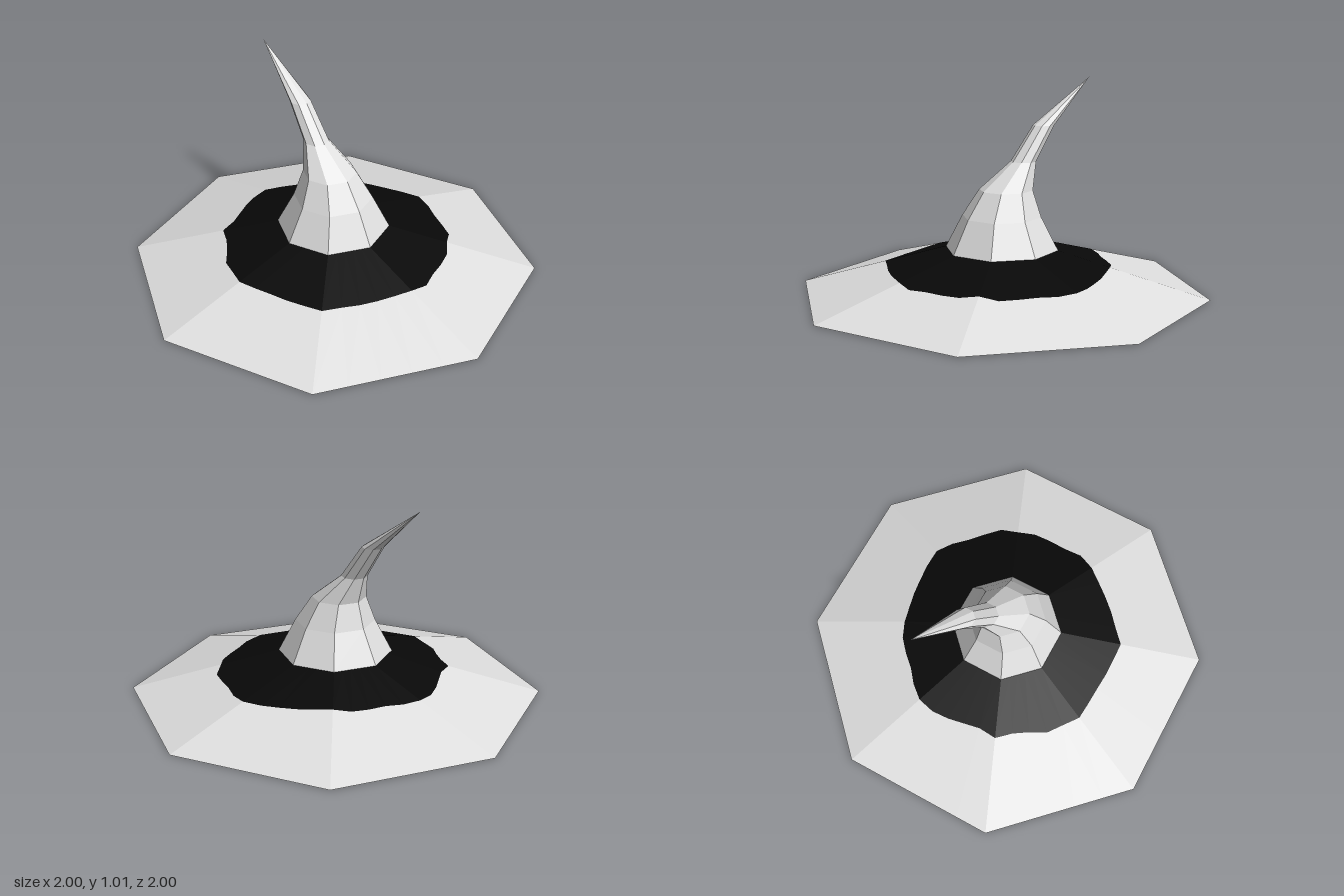
import * as THREE from 'three';

const SIDES = 8;
const OUTER = 1, INNER = 0.275, BRIM_TOP = 0.21;
const UNDER_R = 0.245, UNDER_Y = 0.125;

// Radius factor of an octagon with corners on the axes; angle 0 points to +z
function octagon(a) {
  const step = Math.PI / 4;
  const m = ((a % step) + step) % step;
  return Math.cos(step / 2) / Math.cos(m - step / 2);
}

// Closed ring of points; radius and height may depend on the index and angle
function ring(n, radius, height, z = 0) {
  return Array.from({ length: n }, (_, i) => {
    const a = (i / n) * Math.PI * 2;
    const t = typeof radius === 'function' ? radius(i, a) : radius;
    const y = typeof height === 'function' ? height(t) : height;
    const r = t * octagon(a);
    return [r * Math.sin(a), y, r * Math.cos(a) + z];
  });
}

// Separate triangles give flat facets
function facets(pos) {
  const g = new THREE.BufferGeometry();
  g.setAttribute('position', new THREE.Float32BufferAttribute(pos, 3));
  g.computeVertexNormals();
  return g;
}

function loft(rings) {
  const pos = [];
  for (let k = 0; k + 1 < rings.length; k++) {
    const lo = rings[k], hi = rings[k + 1], n = lo.length;
    for (let i = 0; i < n; i++) {
      const j = (i + 1) % n;
      pos.push(...lo[i], ...lo[j], ...hi[j], ...lo[i], ...hi[j], ...hi[i]);
    }
  }
  return facets(pos);
}

// Height of the sloping underside at a point
function underside(x, z) {
  const a = Math.atan2(x, z);
  const t = Math.hypot(x, z) / octagon(a);
  return ((OUTER - t) * UNDER_Y) / (OUTER - UNDER_R);
}

// Thin patch on the underside, fanned from its first point
function patch(points) {
  const p = points.map(([x, z]) => [x, underside(x, z) - 0.002, z]);
  const pos = [];
  for (let i = 1; i + 1 < p.length; i++) pos.push(...p[0], ...p[i], ...p[i + 1]);
  return facets(pos);
}

export function createModel() {
  const group = new THREE.Group();
  const paleGrey = new THREE.MeshStandardMaterial({ color: 0xe0e0e0 });
  const black = new THREE.MeshStandardMaterial({ color: 0x080808 });
  paleGrey.name = 'paleGrey';
  black.name = 'black';
  const add = (name, geometry, material) => {
    const mesh = new THREE.Mesh(geometry, material);
    mesh.name = name;
    group.add(mesh);
  };

  // Ragged edge of the dark band: a radius every 9 degrees from the front
  const edge = [
    0.567, 0.578, 0.557, 0.56, 0.568, 0.56, 0.578, 0.562, 0.556, 0.573,
    0.583, 0.557, 0.535, 0.524, 0.518, 0.524, 0.53, 0.522, 0.518, 0.54,
    0.56, 0.553, 0.535, 0.52, 0.518, 0.552, 0.527, 0.53, 0.555, 0.556,
    0.572, 0.55, 0.54, 0.545, 0.557, 0.582, 0.556, 0.548, 0.545, 0.55,
  ];
  const n = edge.length;
  const slope = (t) => ((OUTER - t) * BRIM_TOP) / (OUTER - INNER);
  const edgeRing = ring(n, (i, a) => edge[i] / octagon(a), slope);

  // Brim top, split along the ragged edge
  add('brim', loft([ring(n, OUTER, 0), edgeRing]), paleGrey);
  add('darkBand', loft([edgeRing, ring(n, INNER, BRIM_TOP)]), black);

  // Shallow hollow underside
  add('brimUnderside', loft([
    ring(SIDES, 0, UNDER_Y), ring(SIDES, UNDER_R, UNDER_Y), ring(SIDES, OUTER, 0),
  ]), paleGrey);

  // Dark marks on the underside near the front rim
  add('frontMark', patch([
    [0, 1], [-0.233, 0.903], [-0.148, 0.827], [-0.063, 0.81],
    [0, 0.83], [0.057, 0.85], [0.107, 0.929], [0.106, 0.956],
  ]), black);
  add('sideMark', patch([
    [-0.707, 0.707], [-0.769, 0.559], [-0.738, 0.554], [-0.618, 0.594],
    [-0.605, 0.605], [-0.482, 0.755], [-0.424, 0.824],
  ]), black);

  // Crown bending backwards to a point: radius, height, z offset
  const crown = [
    [INNER, BRIM_TOP, 0], [0.192, 0.37, 0], [0.13, 0.495, -0.026],
    [0.062, 0.623, -0.128], [0.052, 0.79, -0.248], [0, 1.01, -0.53],
  ];
  add('crown', loft(crown.map(([r, y, z]) => ring(SIDES, r, y, z))), paleGrey);

  return group;
}
